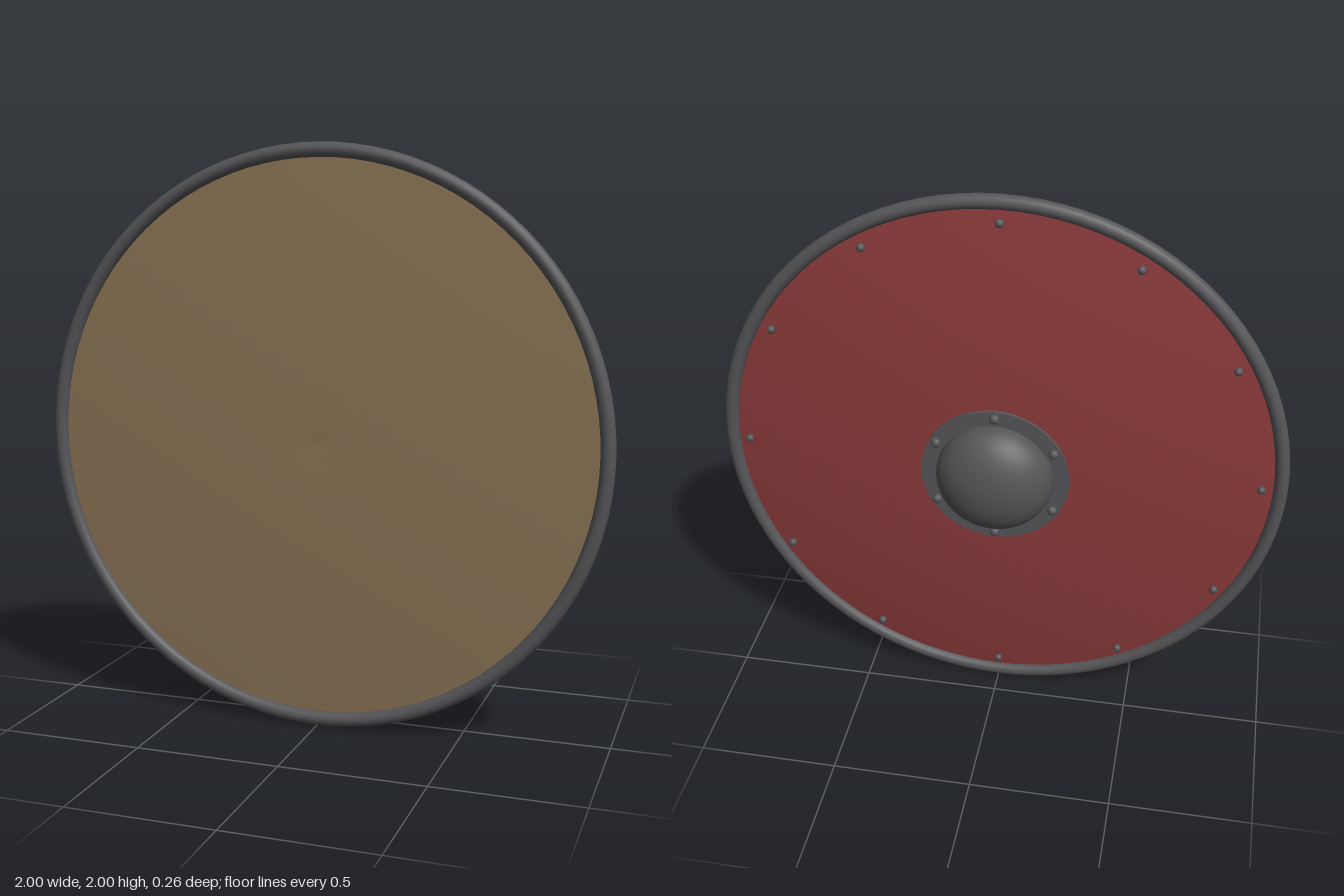
import * as THREE from 'three';

export function createModel() {
  const model = new THREE.Group();
  model.name = 'roundShield';
  const mat = (name, color) => {
    const m = new THREE.MeshStandardMaterial({ color });
    m.name = name;
    return m;
  };
  const red = mat('redPaint', 0x8b3a3a);
  const wood = mat('bareWood', 0x8b7355);
  const iron = mat('darkIron', 0x555558);

  const add = (name, geometry, material, parent = model) => {
    const mesh = new THREE.Mesh(geometry, material);
    mesh.name = name;
    parent.add(mesh);
    return mesh;
  };
  // Profile of [radius, z] pairs turned about the z axis
  const turned = (profile, segments = 64) =>
    new THREE.LatheGeometry(profile.map(([r, z]) => new THREE.Vector2(r, z)), segments).rotateX(Math.PI / 2);

  const EDGE = 0.965, EDGE_Z = 0.1, FACE_Z = 0.016;
  const faceZ = (r) => FACE_Z + (EDGE_Z - FACE_Z) * (r / EDGE) ** 2;

  // Domed painted face, pointing to -z
  const face = [];
  for (let i = 0; i <= 16; i++) {
    const r = (EDGE * i) / 16;
    face.push([r, faceZ(r)]);
  }
  add('paintedFace', turned(face), red);

  // Nearly flat wooden side with a tiny dimple in the middle
  const back = [];
  for (let i = 10; i >= 1; i--) {
    const t = i / 10;
    back.push([EDGE * t, 0.13 - 0.03 * t * t]);
  }
  back.push([0, 0.126]);
  add('woodenSide', turned(back), wood);

  // Iron rim
  const rim = add('rim', new THREE.TorusGeometry(0.975, 0.025, 16, 96), iron);
  rim.position.z = EDGE_Z;

  // Central boss: flange and flattened dome
  const boss = new THREE.Group();
  boss.name = 'boss';
  model.add(boss);
  const flange = add('bossFlange', new THREE.CylinderGeometry(0.26, 0.26, 0.012, 48).rotateX(Math.PI / 2), iron, boss);
  flange.position.z = 0.008;
  const dome = [];
  for (let i = 0; i <= 14; i++) {
    const a = (i / 14) * Math.PI / 2;
    dome.push([0.205 * Math.sin(a), 0.003 - 0.133 * Math.cos(a)]);
  }
  add('bossDome', turned(dome, 48), iron, boss);

  // Rings of rivets
  const rivetRing = (name, count, radius, z, size, start) => {
    const ring = new THREE.Group();
    ring.name = name;
    model.add(ring);
    const geometry = new THREE.SphereGeometry(size, 12, 8);
    for (let i = 0; i < count; i++) {
      const a = start + (i / count) * Math.PI * 2;
      add('rivet', geometry, iron, ring).position.set(radius * Math.cos(a), radius * Math.sin(a), z);
    }
  };
  rivetRing('rimRivets', 12, 0.91, 0.083, 0.015, 0);
  rivetRing('bossRivets', 6, 0.236, -0.001, 0.018, Math.PI / 2);

  model.position.y = 1;
  return model;
}
